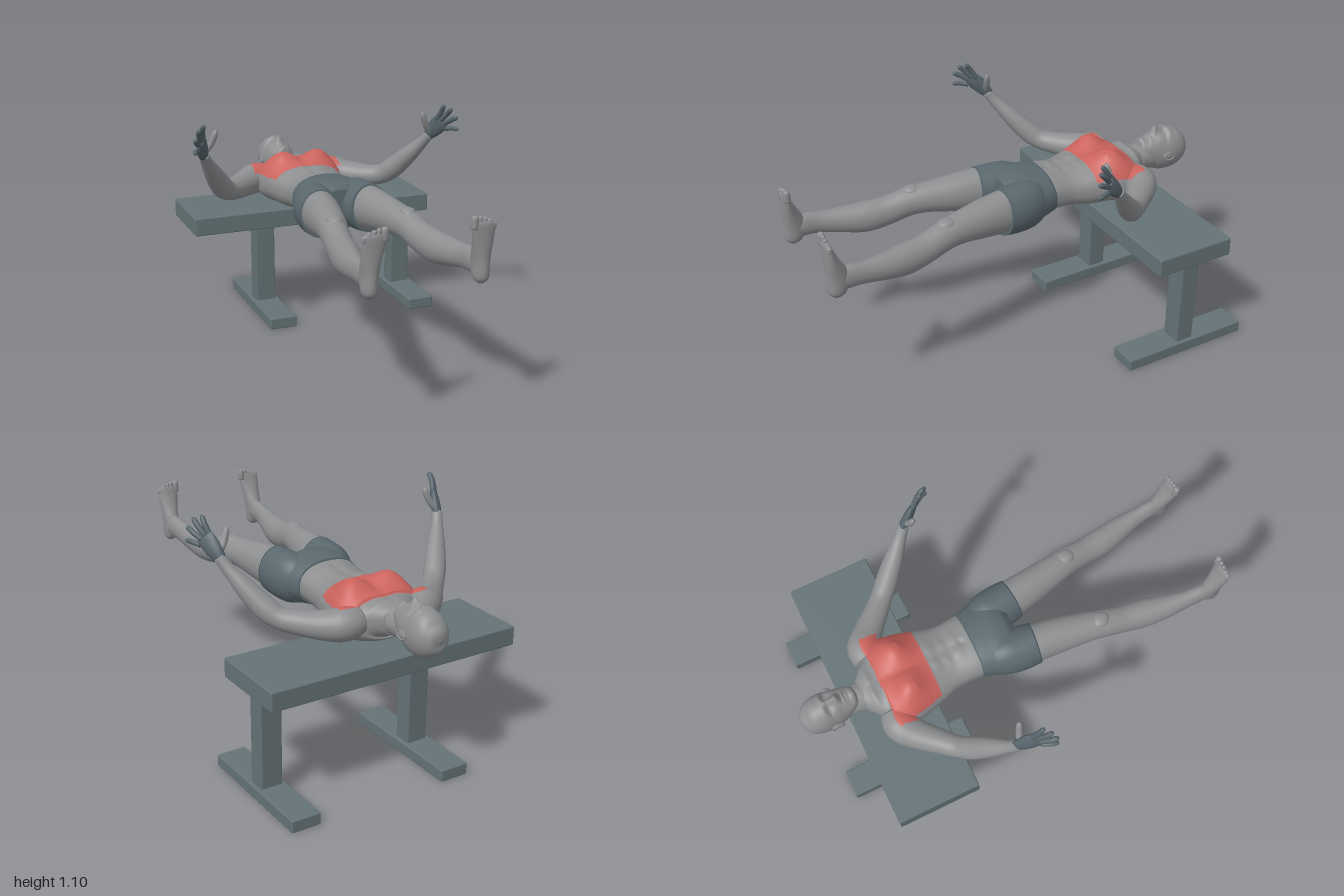
import * as THREE from 'three';
import { RoundedBoxGeometry } from 'three/addons/geometries/RoundedBoxGeometry.js';

const material = (name, color) => {
  const m = new THREE.MeshStandardMaterial({ color });
  m.name = name;
  return m;
};
const skin = material('skin grey', 0x8c8e90);
const chestRed = material('muscle red', 0xcb635d);
const shortsMat = material('shorts slate', 0x5a686e);
const benchMat = material('bench slate', 0x647276);
const gloveMat = material('hand slate', 0x56636a);

// Closed smooth skin over elliptical sections, rows of [x, y, z, a, b]
function loft(rows, { ref = [0, 1, 0], rings = 28, seg = 24, power = 1, shape, accent } = {}) {
  const centre = new THREE.CatmullRomCurve3(rows.map(r => new THREE.Vector3(r[0], r[1], r[2])), false, 'catmullrom');
  const radii = new THREE.CatmullRomCurve3(rows.map(r => new THREE.Vector3(r[3], r[4], 0)), false, 'catmullrom');
  const up = new THREE.Vector3(...ref);
  const pts = [];
  const bend = k => Math.sign(k) * Math.abs(k) ** power;
  for (let i = 0; i <= rings; i++) {
    const c = centre.getPoint(i / rings), r = radii.getPoint(i / rings);
    const t = centre.getTangent(i / rings);
    const u = up.clone().cross(t).normalize(), v = t.clone().cross(u);
    for (let j = 0; j < seg; j++) {
      const w = j / seg * Math.PI * 2;
      const p = c.clone().addScaledVector(u, bend(Math.cos(w)) * r.x).addScaledVector(v, bend(Math.sin(w)) * r.y);
      if (shape) shape(p, Math.max(0, Math.sin(w)));
      pts.push(p);
    }
  }
  const first = pts.length;
  pts.push(centre.getPoint(0), centre.getPoint(1));
  const faces = [[], []];
  const add = (a, b, c, d) => {
    const mid = pts[a].clone().add(pts[c]).multiplyScalar(0.5);
    const list = faces[accent && accent(mid) ? 1 : 0];
    list.push(a, b, c);
    if (d !== undefined) list.push(a, c, d);
  };
  for (let j = 0; j < seg; j++) {
    const k = (j + 1) % seg, last = rings * seg;
    for (let i = 0; i < rings; i++) add(i * seg + j, i * seg + k, (i + 1) * seg + k, (i + 1) * seg + j);
    add(first, k, j);
    add(first + 1, last + j, last + k);
  }
  const g = new THREE.BufferGeometry().setFromPoints(pts);
  g.setIndex([...faces[0], ...faces[1]]);
  g.addGroup(0, faces[0].length, 0);
  g.addGroup(faces[0].length, faces[1].length, 1);
  g.computeVertexNormals();
  return g;
}

const bump = (d, s) => Math.exp(-(d * d) / (2 * s * s));
// Symmetric swellings along +y: [x, z, height, width in x, width in z]
const swell = list => (p, front) => {
  let h = 0;
  for (const [x, z, amp, sx, sz] of list) h += amp * bump(Math.abs(p.x) - x, sx) * bump(p.z - z, sz);
  p.y += h * Math.min(1, front * 2);
};
const along = rows => rows.map(([z, y, a, b]) => [0, y, z, a, b]);
const onChest = p => p.z > -0.615 && p.z < -0.385 && p.y > 0.735 && Math.abs(p.x) < 0.225;

export function createModel() {
  const model = new THREE.Group();
  const body = new THREE.Group();
  body.name = 'lyingFigure';
  body.position.x = -0.005;
  model.add(body);
  const put = (name, geometry, mat, parent = body) => {
    const m = new THREE.Mesh(geometry, mat);
    m.name = name;
    parent.add(m);
    return m;
  };

  // Bench
  const bench = new THREE.Group();
  bench.name = 'bench';
  model.add(bench);
  const block = (name, x, y, z, w, h, d) =>
    put(name, new RoundedBoxGeometry(w, h, d, 2, 0.006), benchMat, bench).position.set(x, y, z);
  block('benchTop', 0.04, 0.532, -0.6, 1.232, 0.088, 0.39);
  for (const x of [-0.176, 0.572]) {
    block('benchPost', x, 0.27, -0.603, 0.1, 0.45, 0.088);
    block('benchFoot', x, 0.028, -0.603, 0.136, 0.056, 0.634);
  }

  // Torso with chest, ribs and stomach muscles
  put('torso', loft(along([
    [-0.71, 0.70, 0.07, 0.062], [-0.66, 0.70, 0.13, 0.08], [-0.62, 0.69, 0.185, 0.098],
    [-0.55, 0.685, 0.212, 0.108], [-0.47, 0.69, 0.2, 0.108], [-0.38, 0.687, 0.177, 0.102],
    [-0.28, 0.69, 0.15, 0.09], [-0.17, 0.70, 0.153, 0.098], [-0.1, 0.69, 0.155, 0.1],
  ]), {
    rings: 96, seg: 96, power: 0.85, accent: onChest,
    shape: swell([
      [0.085, -0.5, 0.044, 0.05, 0.05], [0.14, -0.53, 0.018, 0.04, 0.045],
      [0.11, -0.475, 0.007, 0.007, 0.007], [0, -0.5, -0.008, 0.01, 0.07],
      [0.038, -0.355, 0.008, 0.022, 0.017], [0.038, -0.3, 0.008, 0.022, 0.017],
      [0.036, -0.245, 0.007, 0.022, 0.017], [0, -0.212, -0.012, 0.008, 0.008],
      [0.05, -0.66, 0.008, 0.04, 0.01],
    ]),
  }), [skin, chestRed]);

  // Neck and head with sculpted face
  put('neck', loft(along([[-0.61, 0.69, 0.1, 0.075], [-0.68, 0.70, 0.076, 0.068], [-0.74, 0.705, 0.066, 0.066],
    [-0.83, 0.70, 0.062, 0.07]])), skin);
  put('head', loft(along([
    [-1, 0.725, 0.008, 0.01], [-0.99, 0.725, 0.042, 0.048], [-0.965, 0.722, 0.068, 0.08], [-0.93, 0.72, 0.081, 0.102],
    [-0.89, 0.719, 0.084, 0.108], [-0.85, 0.721, 0.08, 0.104], [-0.8, 0.737, 0.069, 0.082],
    [-0.76, 0.755, 0.055, 0.053], [-0.738, 0.772, 0.036, 0.03], [-0.73, 0.775, 0.012, 0.012],
  ]), {
    rings: 80, seg: 80,
    shape: swell([
      [0, -0.82, 0.03, 0.011, 0.012], [0, -0.847, 0.017, 0.009, 0.02], [0.014, -0.816, 0.01, 0.006, 0.007],
      [0.03, -0.886, 0.007, 0.022, 0.009], [0.032, -0.866, -0.013, 0.014, 0.009], [0.032, -0.864, 0.008, 0.007, 0.005],
      [0, -0.787, 0.009, 0.019, 0.005], [0, -0.773, 0.009, 0.017, 0.005], [0, -0.748, 0.008, 0.018, 0.011],
      [0.05, -0.835, 0.006, 0.014, 0.015],
    ]),
  }), skin);

  // Shorts seat
  put('shortsSeat', loft(along([
    [-0.178, 0.70, 0.157, 0.105], [-0.13, 0.697, 0.17, 0.113], [-0.06, 0.693, 0.187, 0.121],
    [0, 0.692, 0.165, 0.112], [0.035, 0.692, 0.1, 0.085],
  ]), { power: 0.9, seg: 48 }), shortsMat);

  for (const s of [1, -1]) {
    const side = s > 0 ? 'left' : 'right';
    const flip = rows => rows.map(([x, ...rest]) => [x * s, ...rest]);
    const limb = (name, rows, opts, mat = skin) => put(side + name, loft(flip(rows), opts), mat);
    // A finger or toe, rounded at the tip
    const digit = (name, a, b, r, mat, arch = [0, 0, 0]) => {
      const at = t => a.map((k, i) => k + (b[i] - k) * t + arch[i] * 4 * t * (1 - t));
      limb(name, [[...at(0), r, r], [...at(0.5), r * 1.03, r * 1.03], [...at(0.88), r * 0.88, r * 0.88],
        [...at(1), r * 0.3, r * 0.3]], { ref: [1, 0, 0], rings: 14, seg: 12 }, mat);
    };

    // Ear
    const ear = put(side + 'Ear', new THREE.SphereGeometry(1, 16, 12), skin);
    ear.scale.set(0.009, 0.019, 0.031);
    ear.position.set(s * 0.086, 0.715, -0.855);
    const rim = put(side + 'EarRim', new THREE.TorusGeometry(0.021, 0.004, 8, 24), skin);
    rim.scale.set(1.3, 0.9, 1);
    rim.rotation.y = Math.PI / 2;
    rim.position.set(s * 0.092, 0.715, -0.857);

    // Shorts leg and bare leg
    limb('ShortsLeg', [[0.09, 0.692, -0.1, 0.08, 0.1], [0.105, 0.692, -0.04, 0.094, 0.117],
      [0.112, 0.693, 0.03, 0.1, 0.117], [0.12, 0.697, 0.1, 0.093, 0.112]], { seg: 36 }, shortsMat);
    limb('Leg', [
      [0.118, 0.70, 0.07, 0.086, 0.105], [0.135, 0.705, 0.2, 0.08, 0.091], [0.157, 0.708, 0.33, 0.069, 0.073],
      [0.175, 0.70, 0.42, 0.063, 0.068], [0.19, 0.675, 0.52, 0.061, 0.069], [0.204, 0.665, 0.62, 0.063, 0.073],
      [0.221, 0.672, 0.72, 0.054, 0.062], [0.235, 0.683, 0.82, 0.039, 0.052], [0.24, 0.69, 0.9, 0.035, 0.055],
      [0.242, 0.685, 0.955, 0.032, 0.05],
    ], { rings: 48, seg: 32 });
    const knee = put(side + 'Kneecap', new THREE.SphereGeometry(1, 20, 14), skin);
    knee.scale.set(0.036, 0.022, 0.045);
    knee.position.set(s * 0.172, 0.758, 0.4);

    // Foot and toes, sole towards the front
    limb('Foot', [
      [0.243, 0.61, 0.955, 0.012, 0.014], [0.243, 0.635, 0.952, 0.032, 0.042], [0.242, 0.70, 0.943, 0.036, 0.052],
      [0.24, 0.77, 0.96, 0.043, 0.036], [0.237, 0.83, 0.974, 0.05, 0.022], [0.235, 0.865, 0.98, 0.051, 0.016],
      [0.235, 0.88, 0.98, 0.044, 0.011],
    ], { ref: [0, 0, 1] });
    [0.905, 0.903, 0.897, 0.888, 0.875].forEach((y, i) => {
      const x = 0.196 + i * 0.0205 - (i ? 0 : 0.003);
      digit('Toe', [x, 0.85, 0.979], [x, y, 0.982], i ? 0.0105 : 0.0155, skin);
    });

    // Arm from shoulder to wrist
    limb('Arm', [
      [0.13, 0.70, -0.605, 0.062, 0.068], [0.2, 0.695, -0.605, 0.074, 0.078], [0.265, 0.688, -0.56, 0.065, 0.068],
      [0.335, 0.688, -0.49, 0.055, 0.057], [0.4, 0.7, -0.425, 0.049, 0.05], [0.445, 0.74, -0.375, 0.052, 0.05],
      [0.497, 0.815, -0.31, 0.044, 0.042], [0.545, 0.89, -0.25, 0.029, 0.029], [0.57, 0.94, -0.215, 0.025, 0.025],
    ], { ref: [0, 0, 1], rings: 52, seg: 36, accent: onChest }).material = [skin, chestRed];

    // Hand with spread fingers
    limb('Palm', [[0.564, 0.928, -0.224, 0.024, 0.02], [0.577, 0.96, -0.197, 0.036, 0.022],
      [0.592, 0.995, -0.165, 0.042, 0.018], [0.6, 1.018, -0.146, 0.038, 0.012]],
    { ref: [0.8 * s, 0.22, -0.6] }, gloveMat);
    const fingers = [
      [[0.582, 1.02, -0.165], [0.592, 1.1, -0.11]], [[0.597, 1.018, -0.15], [0.62, 1.085, -0.083]],
      [[0.61, 1.002, -0.14], [0.641, 1.045, -0.066]], [[0.616, 0.978, -0.135], [0.646, 0.985, -0.065]],
    ];
    fingers.forEach(([a, b], i) => digit('Finger', a, b, i === 3 ? 0.0105 : 0.012, gloveMat, [0.006, 0.004, 0]));
    digit('Thumb', [0.572, 0.95, -0.208], [0.515, 1.058, -0.185], 0.015, skin, [-0.004, -0.012, 0]);
  }
  return model;
}
